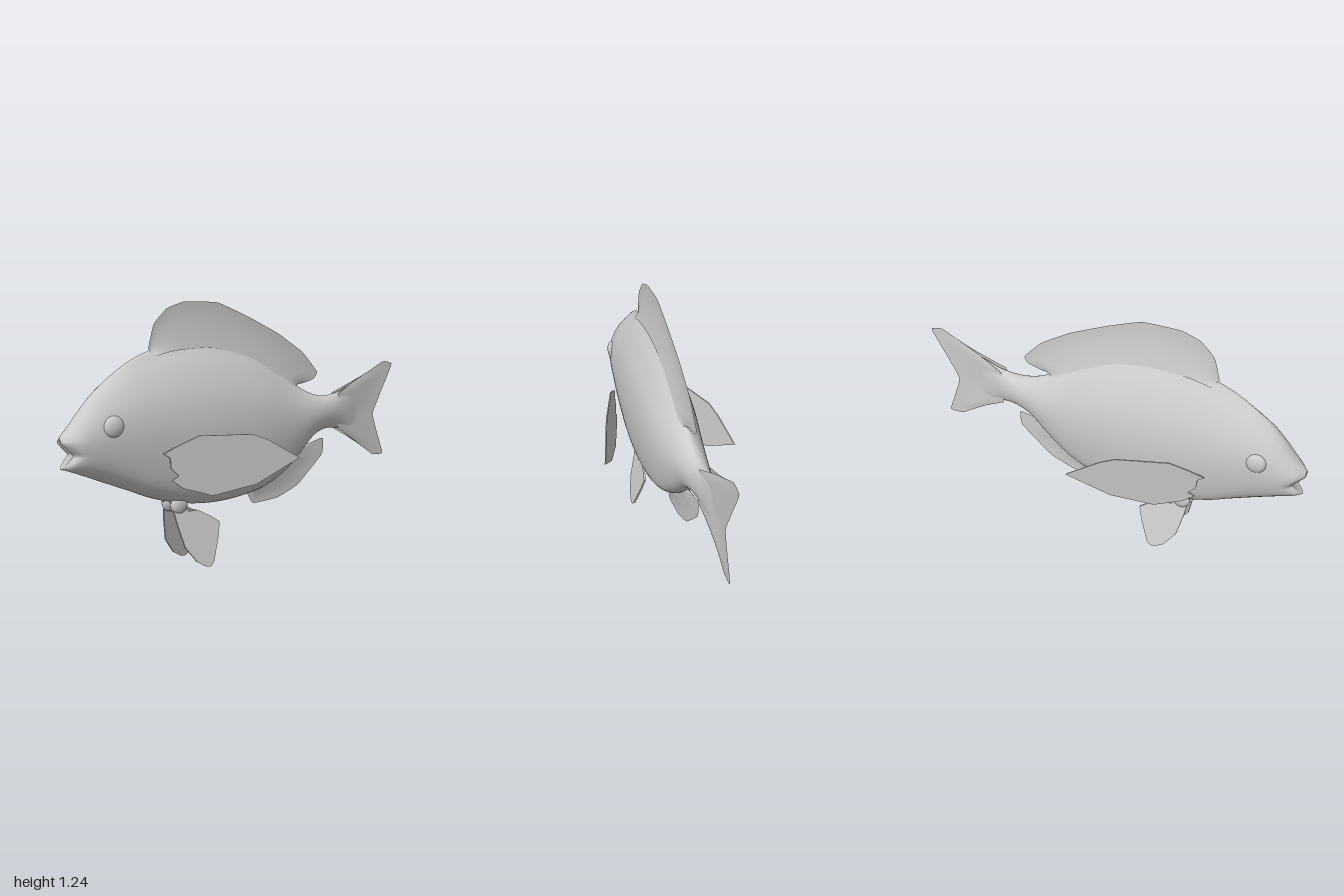
import * as THREE from 'three';

const grey = new THREE.MeshStandardMaterial({ color: 0xcccccc, side: THREE.DoubleSide });
grey.name = 'pale grey';

function mesh(name, geometry) {
  const m = new THREE.Mesh(geometry, grey);
  m.name = name;
  return m;
}

function meshGeometry(positions, index) {
  const g = new THREE.BufferGeometry();
  g.setAttribute('position', new THREE.Float32BufferAttribute(positions, 3));
  g.setIndex(index);
  g.computeVertexNormals();
  return g;
}

const curve = (pts, tension = 0.5) => new THREE.CatmullRomCurve3(
  pts.map(p => new THREE.Vector3(p[0], p[1], p[2] || 0)), false, 'catmullrom', tension);

// Body: a tall, slim section lofted along x. Station = x, top, bottom, half width
const STATIONS = [
  [-1.0, 0.66, 0.53, 0.028], [-0.97, 0.69, 0.52, 0.06], [-0.93, 0.735, 0.505, 0.077],
  [-0.87, 0.81, 0.48, 0.09], [-0.8, 0.88, 0.45, 0.102], [-0.67, 0.97, 0.395, 0.118],
  [-0.54, 1.025, 0.34, 0.128], [-0.38, 1.055, 0.297, 0.138], [-0.2, 1.055, 0.28, 0.142],
  [0, 1.01, 0.297, 0.136], [0.15, 0.935, 0.345, 0.12], [0.29, 0.83, 0.44, 0.097],
  [0.4, 0.77, 0.535, 0.075], [0.5, 0.748, 0.573, 0.055], [0.6, 0.76, 0.567, 0.035],
  [0.68, 0.79, 0.53, 0.018], [0.74, 0.81, 0.5, 0.004],
];
// Half section from belly to back: width and height, both as fractions
const SECTION = [[0, -1], [0.3, -0.975], [0.68, -0.85], [0.89, -0.56], [1, -0.1],
  [0.87, 0.33], [0.5, 0.68], [0.2, 0.87], [0, 1]];

function bodyGeometry() {
  const heights = curve(STATIONS), widths = curve(STATIONS.map(s => [s[0], s[3], 0]));
  const bottoms = curve(STATIONS.map(s => [s[0], s[2], 0]));
  const half = curve(SECTION);
  const rings = 64, n = 24, around = 2 * n;
  const positions = [], index = [];
  for (let i = 0; i <= rings; i++) {
    const t = i / rings;
    const { x, y: top } = heights.getPoint(t);
    const bottom = bottoms.getPoint(t).y, w = widths.getPoint(t).y;
    const round = THREE.MathUtils.clamp(Math.max((-0.6 - x) / 0.35, (x - 0.2) / 0.3), 0, 1);
    for (let j = 0; j < around; j++) {
      const k = j <= n ? j : around - j, side = j <= n ? 1 : -1;
      const p = half.getPoint(k / n), a = Math.PI * k / n;
      const sw = THREE.MathUtils.lerp(Math.max(p.x, 0), Math.sin(a), round);
      const sh = THREE.MathUtils.lerp(p.y, -Math.cos(a), round);
      const y = (top + bottom) / 2 + sh * (top - bottom) / 2;
      // Open mouth: push the snout back between the lips
      const notch = 0.055 * Math.max(0, 1 - Math.abs(y - 0.585) / 0.06)
        * THREE.MathUtils.clamp((-0.86 - x) / 0.14, 0, 1);
      positions.push(x + notch, y, side * sw * w);
    }
  }
  for (let i = 0; i < rings; i++) {
    for (let j = 0; j < around; j++) {
      const a = i * around + j, b = i * around + (j + 1) % around;
      index.push(a, a + around, b, b, a + around, b + around);
    }
  }
  // Inside of the mouth
  const centre = positions.length / 3;
  positions.push(-0.925, 0.583, 0);
  for (let j = 0; j < around; j++) index.push(centre, j, (j + 1) % around);
  return meshGeometry(positions, index);
}

// Middle fin: a two-sided web from root to edge, thick at the root, with a flat thin rim
function webGeometry(root, edge, thick) {
  const r = curve(root), e = curve(edge, 0.15);
  const cols = 60, rows = 8, positions = [], index = [];
  for (const side of [1, -1]) {
    const start = positions.length / 3;
    for (let i = 0; i <= cols; i++) {
      const a = r.getPointAt(i / cols), b = e.getPointAt(i / cols);
      for (let j = 0; j <= rows; j++) {
        const v = j / rows, p = a.clone().lerp(b, v);
        const z = thick * Math.pow(Math.max(0, 1 - v / 0.85), 1.5) + 0.0006;
        positions.push(p.x, p.y, side * z);
      }
    }
    for (let i = 0; i < cols; i++) {
      for (let j = 0; j < rows; j++) {
        const p = start + i * (rows + 1) + j, q = p + rows + 1;
        if (side > 0) index.push(p, q, p + 1, p + 1, q, q + 1);
        else index.push(p, p + 1, q, p + 1, q + 1, q);
      }
    }
  }
  return meshGeometry(positions, index);
}

// Paired fin: a thin outline plate slanted outward by a rule
function plateGeometry(outline, depth, zAt, side) {
  const shape = new THREE.Shape(outline.map(p => new THREE.Vector2(p[0], p[1])));
  const g = new THREE.ExtrudeGeometry(shape, { depth, bevelEnabled: false });
  const p = g.attributes.position;
  for (let i = 0; i < p.count; i++) {
    p.setZ(i, side * (p.getZ(i) - depth / 2 + zAt(p.getX(i), p.getY(i))));
  }
  if (side < 0) { // restore the winding after mirroring
    for (let i = 0; i < p.count; i += 3) {
      const b = new THREE.Vector3().fromBufferAttribute(p, i + 1);
      const c = new THREE.Vector3().fromBufferAttribute(p, i + 2);
      p.setXYZ(i + 1, c.x, c.y, c.z);
      p.setXYZ(i + 2, b.x, b.y, b.z);
    }
  }
  g.computeVertexNormals();
  return g;
}

const PECTORAL = [[-0.56, 0.57], [-0.485, 0.61], [-0.405, 0.645], [-0.165, 0.64], [-0.09, 0.61],
  [0.065, 0.515], [-0.135, 0.4], [-0.335, 0.36], [-0.47, 0.405], [-0.52, 0.445], [-0.49, 0.465],
  [-0.525, 0.5], [-0.53, 0.55]];
const PELVIC = [[-0.47, 0.33], [-0.455, 0.28], [-0.445, 0.215], [-0.42, 0.105], [-0.365, 0.03],
  [-0.32, 0.003], [-0.295, 0], [-0.275, 0.015], [-0.23, 0.125], [-0.21, 0.195], [-0.26, 0.23],
  [-0.325, 0.265], [-0.375, 0.265], [-0.39, 0.29], [-0.37, 0.33]];

export function createModel() {
  const fish = new THREE.Group();
  fish.name = 'fish';
  fish.add(mesh('body', bodyGeometry()));

  fish.add(mesh('dorsalFin', webGeometry(
    [[-0.52, 1.0], [-0.4, 1.02], [-0.2, 1.02], [0, 0.97], [0.2, 0.865], [0.31, 0.79]],
    [[-0.55, 1.03], [-0.52, 1.14], [-0.45, 1.21], [-0.355, 1.24], [-0.17, 1.235], [0, 1.17],
      [0.195, 1.08], [0.355, 0.98], [0.455, 0.875], [0.435, 0.84], [0.355, 0.82], [0.29, 0.825]],
    0.025)));
  fish.add(mesh('analFin', webGeometry(
    [[0.32, 0.5], [0.22, 0.43], [0.12, 0.37], [0.02, 0.33]],
    [[0.3, 0.48], [0.425, 0.51], [0.5, 0.525], [0.495, 0.44], [0.33, 0.295], [0.195, 0.245],
      [0.04, 0.237], [0, 0.305]], 0.02)));
  fish.add(mesh('tailFin', webGeometry(
    [[0.58, 0.755], [0.58, 0.665], [0.58, 0.572]],
    [[0.85, 0.87], [0.93, 0.907], [0.997, 0.887], [0.86, 0.625], [0.94, 0.4], [0.86, 0.4],
      [0.81, 0.44]], 0.025)));

  for (const side of [1, -1]) {
    const label = side > 0 ? 'left' : 'right';
    fish.add(mesh(label + 'PectoralFin', plateGeometry(PECTORAL, 0.006,
      (x, y) => 0.14 + 0.32 * (x + 0.55) + 0.08 * (y - 0.58), side)));
    fish.add(mesh(label + 'PelvicFin', plateGeometry(PELVIC, 0.01,
      (x, y) => 0.043 + 0.25 * (0.28 - y), side)));

    const base = mesh(label + 'PelvicBase', new THREE.SphereGeometry(1, 20, 14));
    base.scale.set(0.045, 0.045, 0.022);
    base.position.set(-0.42, 0.3, side * 0.04);
    fish.add(base);

    const eye = mesh(label + 'Eye', new THREE.SphereGeometry(0.05, 28, 20));
    eye.scale.z = 0.5;
    eye.position.set(-0.78, 0.705, side * 0.092);
    fish.add(eye);
  }
  return fish;
}
